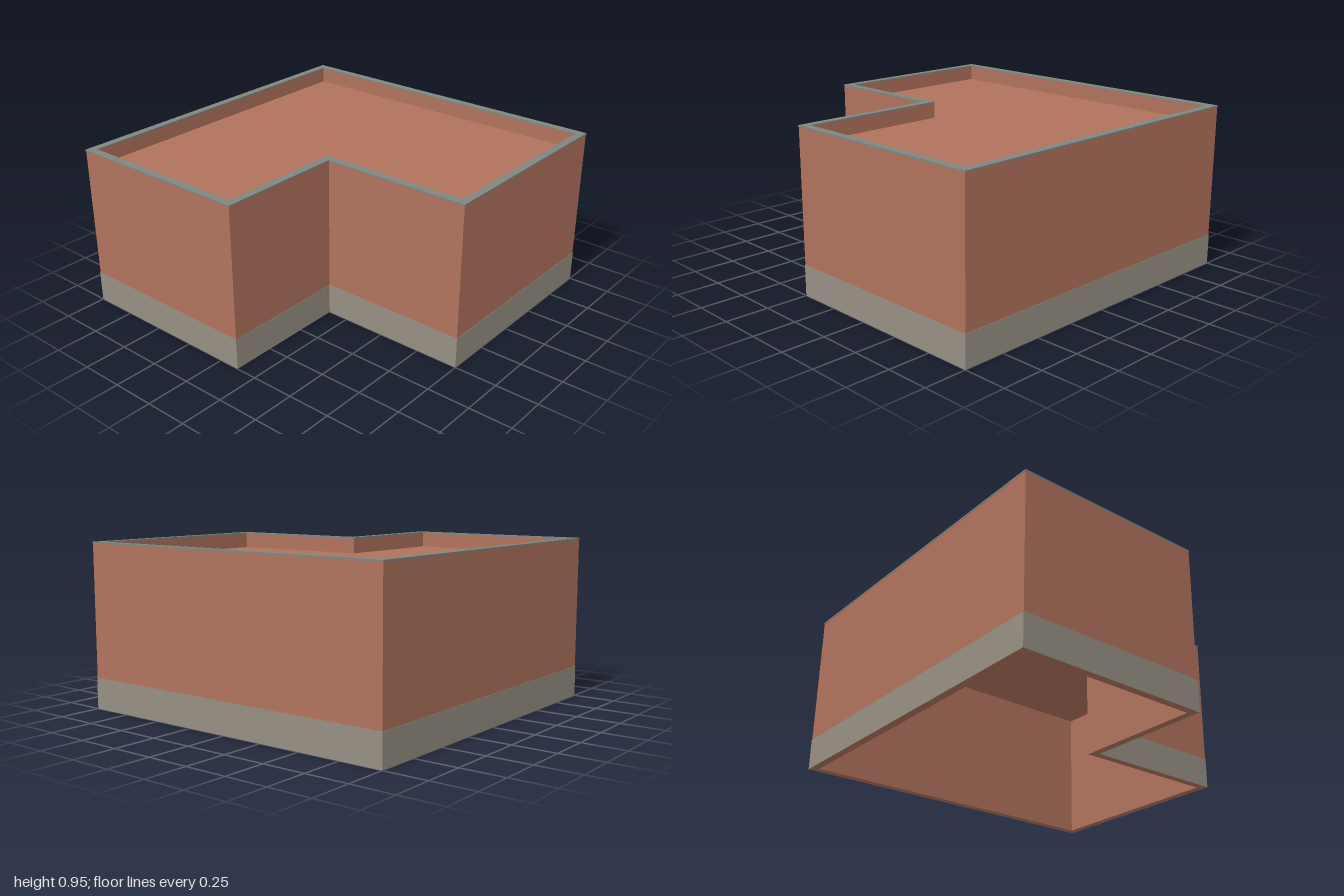
import * as THREE from 'three';

const WALL = 0.045;
const SKIN = 0.002;

// L-shaped plan, every side moved inwards by t (shape y is -z)
function planPoints(t) {
  return [
    [-1 + t, -1 + t], [-1 + t, 1 - t], [0.125 - t, 1 - t],
    [0.125 - t, 0.25 - t], [1 - t, 0.25 - t], [1 - t, -1 + t],
  ].map(([x, z]) => new THREE.Vector2(x, -z));
}

// Upright extrusion of the plan from y0 to y1, hollow when an inner inset is given
function planPart(name, color, y0, y1, outer, inner) {
  const shape = new THREE.Shape(planPoints(outer));
  if (inner !== undefined) shape.holes.push(new THREE.Path(planPoints(inner)));
  const geometry = new THREE.ExtrudeGeometry(shape, { depth: y1 - y0, bevelEnabled: false });
  geometry.rotateX(-Math.PI / 2);
  geometry.translate(0, y0, 0);
  const mesh = new THREE.Mesh(geometry, new THREE.MeshStandardMaterial({ color }));
  mesh.name = name;
  return mesh;
}

export function createModel() {
  const group = new THREE.Group();
  group.name = 'building';
  const brick = 0xb0725c;

  group.add(
    // Brick shell, open at the bottom
    planPart('walls', brick, 0, 0.945, SKIN, WALL),
    // Thin facing around the foot of the walls
    planPart('plinth', 0x968f83, 0, 0.18, 0, SKIN),
    // Flat roof sunk behind the parapet
    planPart('roofSlab', brick, 0.81, 0.86, WALL),
    // Coping on top of the parapet
    planPart('parapetCap', 0x80857f, 0.945, 0.955, 0, WALL),
  );
  return group;
}
